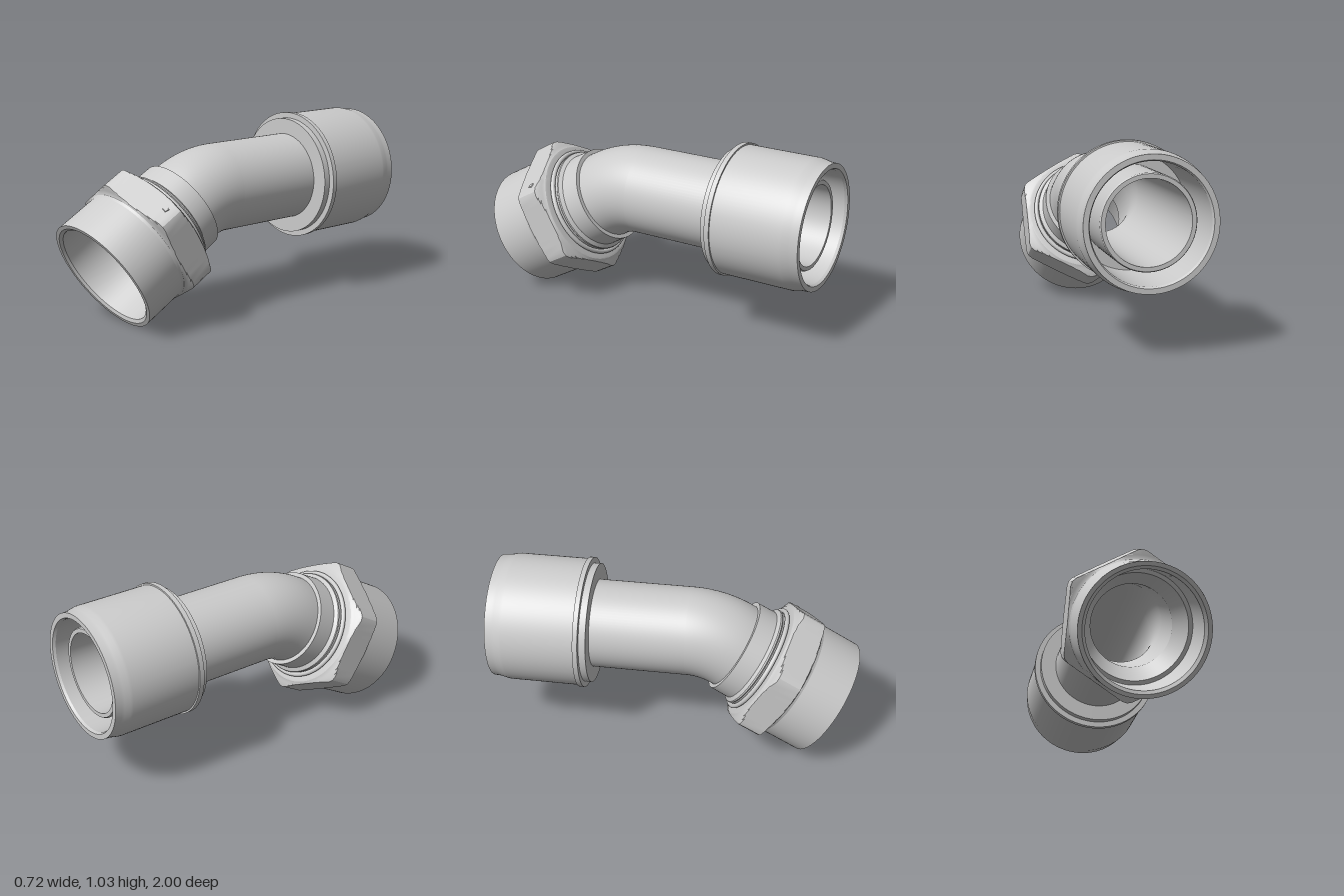
import * as THREE from 'three';
import { toCreasedNormals } from 'three/addons/utils/BufferGeometryUtils.js';

const V = (x, y, z) => new THREE.Vector3(x, y, z);
const AXIS_Y = 0.671;      // height of the straight pipe axis
const BEND_ANGLE = Math.PI / 6;
const BEND_R = 0.45;       // centreline radius of the bend
const TANGENT = BEND_R * Math.tan(BEND_ANGLE / 2);
const VERTEX_Z = 0.186;    // where the two pipe axes cross
const PIPE_OUT = 0.243, PIPE_IN = 0.216;
const FLAT = 0.35;         // centre to flat of the hex nut

const material = new THREE.MeshStandardMaterial({ color: 0xcccccc, side: THREE.DoubleSide });

function part(name, geometry) {
  const mesh = new THREE.Mesh(geometry, material);
  mesh.name = name;
  return mesh;
}

// Turned part: pairs of [radius, distance along axis], optional rule for the radius
function turned(name, profile, rule) {
  const geo = new THREE.LatheGeometry(profile.map(([r, s]) => new THREE.Vector2(r, s)), 96);
  if (rule) {
    const p = geo.attributes.position;
    for (let i = 0; i < p.count; i++) {
      const r = Math.hypot(p.getX(i), p.getZ(i));
      const k = rule(r, Math.atan2(p.getX(i), p.getZ(i))) / r;
      p.setX(i, p.getX(i) * k);
      p.setZ(i, p.getZ(i) * k);
    }
  }
  return part(name, toCreasedNormals(geo, 0.4));
}

// Radius cut back to a hexagon with a corner at angle 0
function hexCut(r, angle) {
  const step = Math.PI / 3;
  const a = ((angle % step) + step) % step - step / 2;
  return Math.min(r, FLAT / Math.cos(a));
}

export function createModel() {
  const model = new THREE.Group();
  model.name = 'angledHoseFitting';

  // Straight pipe and crimp sleeve, local y runs towards the back
  const back = new THREE.Group();
  back.name = 'hoseEnd';
  back.position.y = AXIS_Y;
  back.rotation.x = -Math.PI / 2;
  const start = TANGENT - VERTEX_Z;
  back.add(turned('straightPipe', [
    [PIPE_OUT, start], [PIPE_OUT, 0.935], [0.238, 0.945],
    [PIPE_IN, 0.945], [PIPE_IN, start],
  ]));
  back.add(turned('crimpSleeve', [
    [PIPE_OUT, 0.453], [0.33, 0.453], [0.33, 0.49], [0.361, 0.49], [0.361, 0.517],
    [0.352, 0.517], [0.352, 0.905], [0.35, 0.92], [0.343, 0.95], [0.34, 0.965],
    [0.338, 1], [0.31, 1], [0.303, 0.985], [0.303, 0.57], [PIPE_OUT, 0.57],
  ]));
  model.add(back);

  // Bend, outer and inner wall
  const bend = new THREE.Group();
  bend.name = 'pipeBend';
  bend.quaternion.setFromRotationMatrix(
    new THREE.Matrix4().makeBasis(V(0, 1, 0), V(0, 0, 1), V(1, 0, 0)));
  bend.position.set(0, AXIS_Y - BEND_R, VERTEX_Z - TANGENT);
  bend.add(part('bendOuterWall', new THREE.TorusGeometry(BEND_R, PIPE_OUT, 96, 24, BEND_ANGLE)));
  bend.add(part('bendInnerWall', new THREE.TorusGeometry(BEND_R, PIPE_IN, 96, 24, BEND_ANGLE)));
  model.add(bend);

  // Nut end, local y runs forward and down along the tilted axis
  const front = new THREE.Group();
  front.name = 'nutEnd';
  front.position.set(0, AXIS_Y, VERTEX_Z);
  front.rotation.x = Math.PI / 2 + BEND_ANGLE;

  front.add(turned('collar', [
    [PIPE_OUT, TANGENT], [PIPE_OUT, 0.143], [0.266, 0.143], [0.268, 0.25],
    [0.288, 0.264], [0.29, 0.272], [0.283, 0.28], [0.283, 0.32],
  ]));
  const bead = part('retainingBead', new THREE.TorusGeometry(0.298, 0.013, 16, 96));
  bead.rotation.x = Math.PI / 2;
  bead.position.y = 0.296;
  front.add(bead);

  // Seat inside the nut, flaring out from the pipe bore
  front.add(turned('coneSeat', [
    [0.298, 0.496], [0.276, 0.496], [PIPE_IN, 0.38], [PIPE_IN, TANGENT],
  ]));

  // Hex nut: turned chamfers cut by six flats
  front.add(turned('hexNut', [
    [0.283, 0.312], [0.328, 0.312], [0.338, 0.314], [0.345, 0.319], [0.356, 0.324],
    [0.368, 0.329], [0.382, 0.336], [0.396, 0.343], [0.396, 0.476], [0.38, 0.48],
    [0.365, 0.484], [0.35, 0.488], [0.342, 0.494], [0.337, 0.508],
  ], hexCut));
  front.add(turned('nutSkirt', [
    [0.337, 0.508], [0.337, 0.746], [0.315, 0.746], [0.298, 0.734], [0.298, 0.496],
  ]));

  // Small diamond mark on the upper left flat
  const mark = part('diamondMark',
    new THREE.CylinderGeometry(0.016, 0.022, 0.008, 4).toNonIndexed());
  mark.geometry.computeVertexNormals();
  const normal = V(0.5, 0, -Math.sqrt(3) / 2);
  const along = V(Math.sqrt(3) / 2, 0, 0.5);
  mark.position.copy(normal).multiplyScalar(FLAT).addScaledVector(along, 0.139);
  mark.position.y = 0.388;
  mark.quaternion.setFromUnitVectors(V(0, 1, 0), normal);
  front.add(mark);
  model.add(front);

  return model;
}
